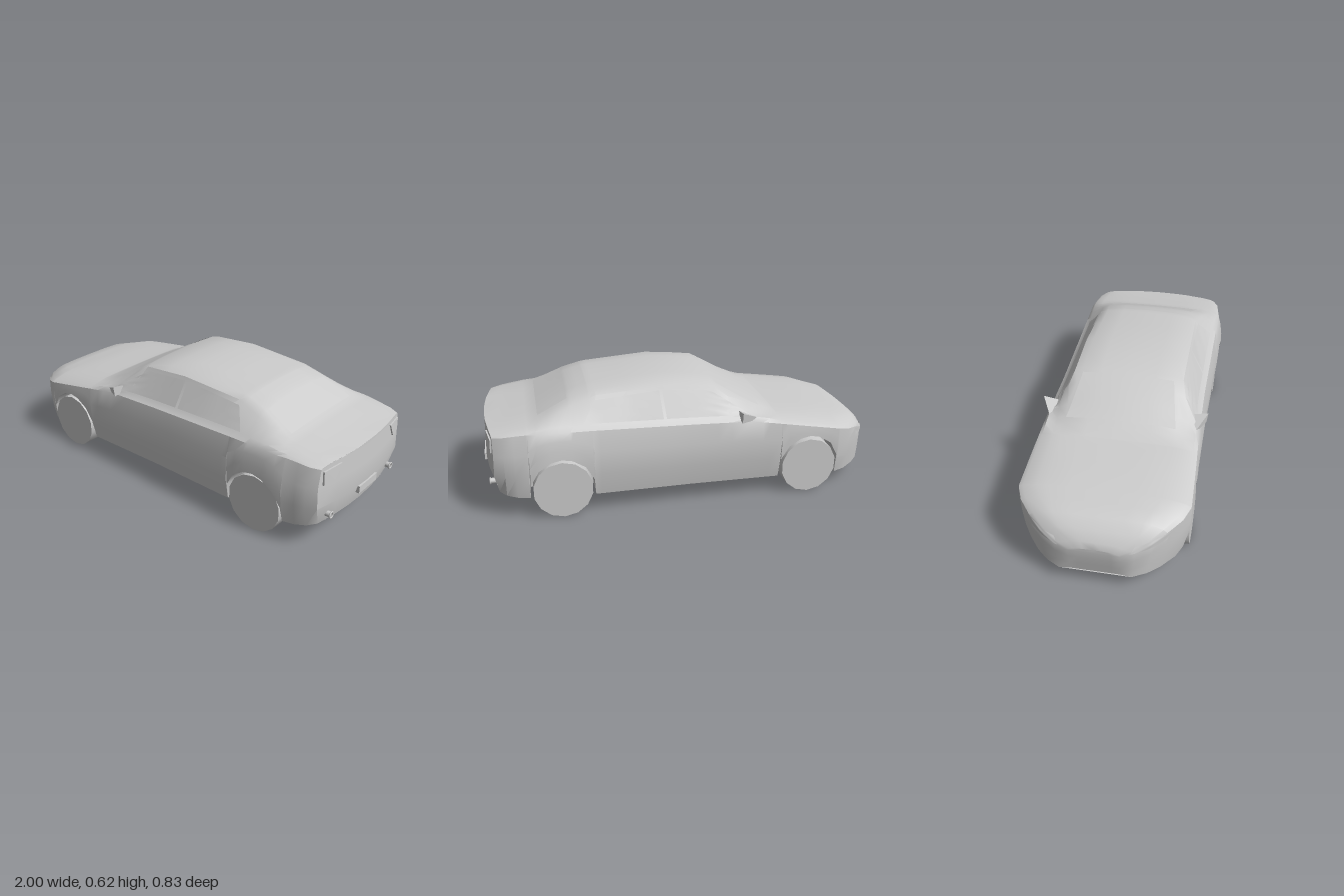
import * as THREE from 'three';
import { toCreasedNormals } from 'three/addons/utils/BufferGeometryUtils.js';
import { ConvexGeometry } from 'three/addons/geometries/ConvexGeometry.js';

const grey = new THREE.MeshStandardMaterial({ color: 0xcccccc, side: THREE.DoubleSide });
const V = (x, y, z) => new THREE.Vector3(x, y, z);
const mix = (a, b, t) => a + (b - a) * t;

// Linear lookup in a [position, value] table
function curve(...keys) {
  return (x) => {
    if (x <= keys[0][0]) return keys[0][1];
    for (let i = 1; i < keys.length; i++) {
      const [x0, a] = keys[i - 1], [x1, b] = keys[i];
      if (x <= x1) return mix(a, b, (x - x0) / (x1 - x0));
    }
    return keys[keys.length - 1][1];
  };
}

// Body lines along the length (nose at -x)
const halfWidth = curve([-1, .12], [-.985, .18], [-.95, .25], [-.9, .31], [-.83, .37], [-.765, .4],
  [0, .395], [.75, .41], [.9, .385], [.955, .36]);
const topLine = curve([-1, .24], [-.985, .27], [-.95, .31], [-.9, .345], [-.7, .385], [-.455, .415],
  [-.13, .59], [0, .61], [.12, .62], [.48, .595], [.57, .57], [.745, .48], [.955, .442]);
const beltLine = curve([-1, .22], [-.95, .27], [-.9, .3], [-.765, .335], [-.4, .395], [-.3, .41],
  [.5, .435], [.8, .44], [.955, .425]);
const bottomLine = curve([-1, .08], [-.765, .08], [-.45, .09], [.47, .1], [.8, .115], [.955, .13]);
const edgeZ = curve([-1, .09], [-.95, .19], [-.9, .24], [-.765, .31], [-.4, .315], [-.3, .325], [-.13, .275],
  [.12, .275], [.45, .27], [.57, .285], [.745, .325], [.955, .31]);
const edgeY = curve([-1, .235], [-.95, .3], [-.9, .335], [-.765, .362], [-.4, .415], [-.3, .445], [-.13, .57],
  [.12, .59], [.45, .57], [.57, .53], [.745, .463], [.955, .436]);
const tailTuck = curve([.85, 1], [.955, .91]);

// Wheel arch outline, relative to the wheel centre
const archKeys = [[-.156, 0], [-.15, .19], [-.11, .262], [-.05, .3], [0, .31],
  [.05, .3], [.11, .262], [.15, .19], [.156, 0]];
const arch = curve(...archKeys);
const axles = [-.61, .635];

// Half cross-section from floor centre to roof centre as [z, y]
function section(x) {
  const w = halfWidth(x), yb = bottomLine(x), belt = beltLine(x), top = topLine(x);
  const ya = Math.max(yb, ...axles.map((a) => arch(x - a)));
  const side = (y) => w * (1 - (y > .29 ? 2.8 : 1.7) * (y - .29) ** 2);
  const low = side(ya) * tailTuck(x), inner = Math.min(.265, low * .7);
  const y1 = mix(ya, belt, .35), y2 = mix(ya, belt, .7);
  const ez = edgeZ(x), ey = edgeY(x);
  return [
    [0, yb], [inner, yb], [inner, ya], [low, ya], [side(y1), y1], [side(y2), y2], [side(belt), belt],
    [mix(side(belt), ez, .25), belt + Math.min(.02, .35 * (top - belt))],
    [ez, ey], [ez * .85, mix(ey, top, .6)], [ez * .5, mix(ey, top, .9)], [0, top],
  ];
}

// Curved end faces
const noseX = (y) => -1 + Math.max(0, .2 - y) * .17;
const tailX = (z, y) => .994 - .33 * z * z - Math.max(0, .2 - y) * .4 - Math.max(0, y - .2) * .04;

function bodyGeometry() {
  const xs = [-1, -.985, -.95, -.9, -.83, -.4, -.36, -.3, -.2, -.13, 0, .12, .3, .45, .57, .85, .9, .955];
  for (const a of axles) for (const [d] of archKeys) xs.push(a + d);
  xs.sort((a, b) => a - b);
  const last = xs.length - 1, pos = [];
  const tri = (a, b, c) => {
    const area = b.clone().sub(a).cross(c.clone().sub(a)).length();
    if (area > 1e-8) for (const p of [a, b, c]) pos.push(p.x, p.y, p.z);
  };
  const quad = (a, b, c, d) => { tri(a, b, c); tri(a, c, d); };
  const endX = (i, z, y) => (i === 0 ? noseX(y) : i === last ? tailX(z, y) : xs[i]);
  const sections = xs.map(section);
  const rings = sections.map((half, i) => {
    const ring = half.map(([z, y]) => V(endX(i, z, y), y, z));
    const mirrored = ring.slice(1, -1).reverse().map((p) => V(p.x, p.y, -p.z));
    return [...ring, ...mirrored];
  });
  // Skin
  for (let i = 0; i < last; i++) {
    const a = rings[i], b = rings[i + 1], n = a.length;
    for (let j = 0; j < n; j++) {
      const k = (j + 1) % n;
      quad(a[j], b[j], b[k], a[k]);
    }
  }
  // Nose and tail faces
  for (const i of [0, last]) {
    const half = sections[i];
    for (let r = 3; r < half.length - 1; r++) {
      for (let c = -3; c < 3; c++) {
        const at = (row, col) => {
          const z = half[row][0] * col / 3, y = half[row][1];
          return V(endX(i, z, y), y, z);
        };
        const q = [at(r, c), at(r, c + 1), at(r + 1, c + 1), at(r + 1, c)];
        if (i) q.reverse();
        quad(...q);
      }
    }
  }
  const g = new THREE.BufferGeometry();
  g.setAttribute('position', new THREE.Float32BufferAttribute(pos, 3));
  return toCreasedNormals(g, .6);
}

export function createModel() {
  const car = new THREE.Group();
  car.name = 'sedan';
  const add = (name, geometry) => {
    const mesh = new THREE.Mesh(geometry, grey);
    mesh.name = name;
    car.add(mesh);
    return mesh;
  };

  const body = add('body', bodyGeometry());
  const ray = new THREE.Raycaster();

  // Four-cornered panel laid on the body; toPoint maps (u, v) to a start point outside it
  function panel(name, corners, toPoint, dir, lift = .0025, n = 8) {
    const g = new THREE.PlaneGeometry(1, 1, n, n), p = g.attributes.position;
    const [a, b, c, d] = corners;
    for (let i = 0; i < p.count; i++) {
      const s = p.getX(i) + .5, t = p.getY(i) + .5;
      const uv = [0, 1].map((k) => mix(mix(a[k], b[k], s), mix(d[k], c[k], s), t));
      ray.set(toPoint(...uv), dir);
      const hit = ray.intersectObject(body)[0];
      if (!hit) continue;
      const q = hit.point.addScaledVector(dir, -lift);
      p.setXYZ(i, q.x, q.y, q.z);
    }
    g.computeVertexNormals();
    add(name, g);
  }

  // Windscreen and rear window
  const fromTop = (x, z) => V(x, 2, z);
  panel('windscreen', [[-.37, -.27], [-.15, -.23], [-.15, .23], [-.37, .27]], fromTop, V(0, -1, 0));
  panel('rearWindow', [[.585, -.23], [.73, -.25], [.73, .25], [.585, .23]], fromTop, V(0, -1, 0));

  for (const s of [1, -1]) {
    const side = s > 0 ? 'left' : 'right';
    // Door glass
    const fromSide = (x, y) => V(x, y, 2 * s);
    panel(side + 'FrontDoorGlass', [[-.3, .435], [.12, .45], [.13, .575], [-.11, .555]], fromSide, V(0, 0, -s));
    panel(side + 'RearDoorGlass', [[.135, .45], [.52, .46], [.46, .55], [.145, .575]], fromSide, V(0, 0, -s));

    // Headlight
    panel(side + 'Headlight', [[.16 * s, .235], [.31 * s, .262], [.335 * s, .305], [.18 * s, .268]],
      (z, y) => V(-2, y, z), V(1, 0, 0), .004);

    // Tail light
    const lamp = [[.22, .418], [.33, .412], [.33, .345], [.265, .345]].flatMap(([z, y]) =>
      [.007, -.02].map((d) => V(tailX(z, y) + d, y, z * s)));
    add(side + 'TailLight', toCreasedNormals(new ConvexGeometry(lamp), .5));

    // Exhaust pipe with a rolled rim
    const pipe = new THREE.CylinderGeometry(.014, .014, .06, 12, 1, true).rotateZ(Math.PI / 2);
    add(side + 'Exhaust', pipe).position.set(.945, .173, .273 * s);
    const rim = new THREE.TorusGeometry(.0145, .004, 6, 14).rotateY(Math.PI / 2);
    add(side + 'ExhaustRim', rim).position.set(.975, .173, .273 * s);

    // Door mirror
    const mirror = [[-.36, .41, .35], [-.245, .468, .415], [-.245, .415, .408], [-.245, .455, .34], [-.245, .418, .36]];
    add(side + 'Mirror', toCreasedNormals(
      new ConvexGeometry(mirror.map(([x, y, z]) => V(x, y, z * s))), .4));

    // Wheels
    axles.forEach((x, i) => {
      const wheel = new THREE.CylinderGeometry(.144, .144, .122, 14).rotateX(Math.PI / 2);
      add(side + (i ? 'RearWheel' : 'FrontWheel'), toCreasedNormals(wheel, .5))
        .position.set(x, .144, s * (i ? .329 : .333));
    });
  }

  // Number plate
  const plate = new THREE.BoxGeometry(.03, .036, .158);
  add('numberPlate', plate).position.set(.985, .216, 0);
  return car;
}
